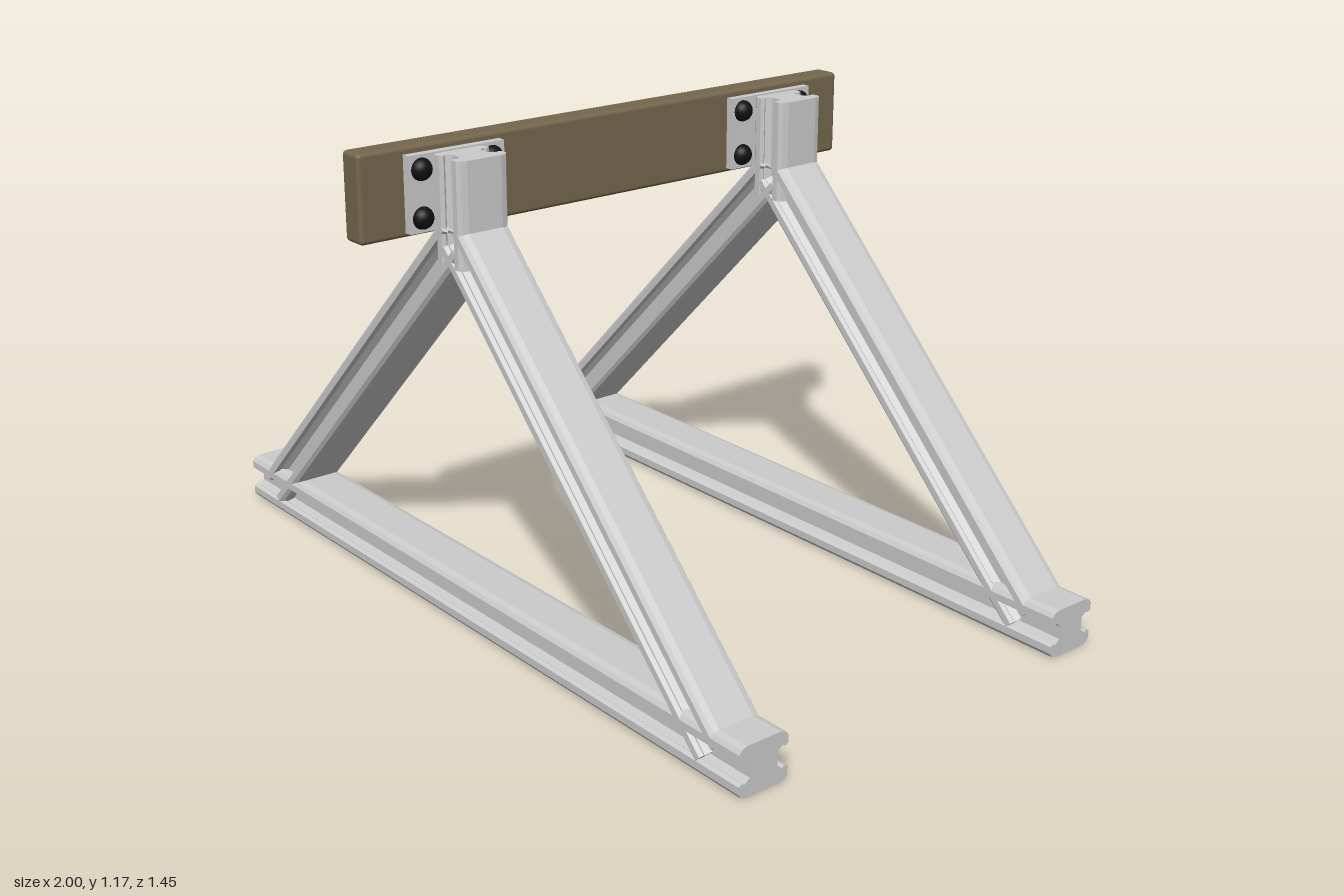
import * as THREE from 'three';
import { RoundedBoxGeometry } from 'three/addons/geometries/RoundedBoxGeometry.js';

const grey = new THREE.MeshStandardMaterial({ color: 0xcccccc });
const wood = new THREE.MeshStandardMaterial({ color: 0x75674d });
const black = new THREE.MeshStandardMaterial({ color: 0x111111 });

const FRAME_Z = [0.475, -0.488]; // centres of the two triangular frames
const PLATE_Z = [0.478, -0.478];

// One quarter of the rail section: [across, thickness], grooved on both sides
const QUARTER = [[0.046, 0.5], [0.061, 0.46], [0.068, 0.38], [0.068, 0.23], [0.058, 0.19], [0.052, 0.23], [0.038, 0.13]];

function railShape(thickness) {
  const right = [
    ...QUARTER.map(([a, t]) => [a, t]),
    ...QUARTER.map(([a, t]) => [a, -t]).reverse(),
  ];
  const all = [...right, ...right.map(([a, t]) => [-a, -t])];
  return new THREE.Shape(all.map(([a, t]) => new THREE.Vector2(a, t * thickness)));
}

// Straight grooved rail between two points in the frame plane (x, y)
function rail(name, x0, y0, x1, y1, thickness) {
  const dir = new THREE.Vector3(x1 - x0, y1 - y0, 0);
  const geo = new THREE.ExtrudeGeometry(railShape(thickness), { depth: dir.length(), bevelEnabled: false });
  dir.normalize();
  // Section's wide axis follows z, its thickness lies in the frame plane
  const across = new THREE.Vector3(0, 0, 1);
  const thick = new THREE.Vector3().crossVectors(dir, across);
  geo.applyMatrix4(new THREE.Matrix4().makeBasis(across, thick, dir).setPosition(x0, y0, 0));
  const mesh = new THREE.Mesh(geo, grey);
  mesh.name = name;
  return mesh;
}

function createFrame() {
  const frame = new THREE.Group();
  frame.name = 'triangleFrame';
  frame.add(rail('baseRail', -1, 0.06, 1, 0.06, 0.12));
  for (const [side, s] of [['left', 1], ['right', -1]]) {
    frame.add(rail(side + 'Leg', s * 0.895, 0.062, 0, 0.957, 0.11));
  }
  frame.add(rail('upright', 0, 0.895, 0, 1.147, 0.108));
  return frame;
}

// Mounting plate with four domed bolts
function createBracket() {
  const bracket = new THREE.Group();
  bracket.name = 'bracket';
  const plate = new THREE.Mesh(new THREE.BoxGeometry(0.021, 0.18, 0.26), grey);
  plate.name = 'plate';
  plate.position.set(-0.06, 1.061, 0);
  bracket.add(plate);
  const dome = new THREE.SphereGeometry(0.027, 20, 8, 0, Math.PI * 2, 0, Math.PI / 2);
  dome.rotateZ(-Math.PI / 2);
  for (const y of [1.005, 1.117]) {
    for (const z of [-0.096, 0.096]) {
      const bolt = new THREE.Mesh(dome, black);
      bolt.name = 'bolt';
      bolt.position.set(-0.052, y, z);
      bracket.add(bolt);
    }
  }
  return bracket;
}

export function createModel() {
  const model = new THREE.Group();
  model.name = 'rackStand';
  for (const z of FRAME_Z) {
    const frame = createFrame();
    frame.position.z = z;
    model.add(frame);
  }
  for (const z of PLATE_Z) {
    const bracket = createBracket();
    bracket.position.z = z;
    model.add(bracket);
  }
  // Board linking the two frames
  const board = new THREE.Mesh(new RoundedBoxGeometry(0.066, 0.208, 1.45, 3, 0.01), wood);
  board.name = 'crossBoard';
  board.position.set(-0.103, 1.064, 0);
  model.add(board);
  return model;
}
